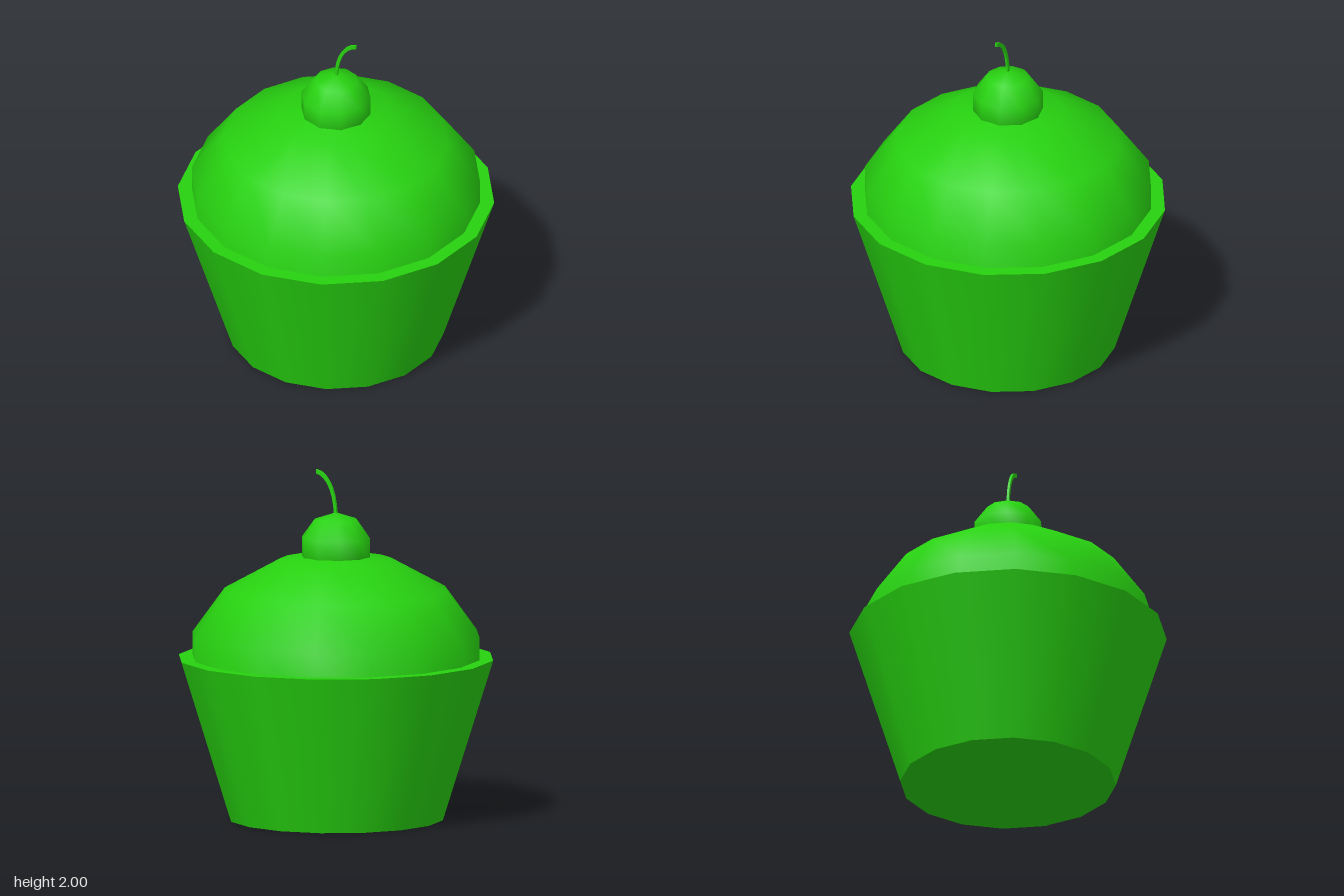
import * as THREE from 'three';

export function createModel() {
  const group = new THREE.Group();
  group.name = 'cupcake';
  const green = new THREE.MeshStandardMaterial({ color: 0x27d110 });
  green.name = 'green';

  const add = (name, geometry, y = 0) => {
    const mesh = new THREE.Mesh(geometry, green);
    mesh.name = name;
    mesh.position.y = y;
    group.add(mesh);
    return mesh;
  };

  // Flared paper cup, closed by a flat rim and base
  add('cup', new THREE.CylinderGeometry(0.905, 0.615, 0.925, 16), 0.4625);

  // Squashed dome of cake, rising out of the cup
  const profile = [[0.825, 0.69], [0.825, 1.06], [0.64, 1.315], [0.32, 1.49], [0, 1.535]];
  add('cakeTop', new THREE.LatheGeometry(profile.map(([r, y]) => new THREE.Vector2(r, y)), 16));

  // Low-poly round cherry with a vertex toward the front
  add('cherry', new THREE.SphereGeometry(0.21, 10, 5).rotateY(Math.PI / 2), 1.55);

  // Thin curved stalk, square in section
  const stalk = new THREE.Shape();
  stalk.moveTo(-0.008, 1.74);
  stalk.bezierCurveTo(-0.004, 1.88, 0.045, 1.985, 0.13, 2);
  stalk.lineTo(0.13, 1.975);
  stalk.bezierCurveTo(0.07, 1.965, 0.015, 1.89, 0.01, 1.74);
  add('stalk', new THREE.ExtrudeGeometry(stalk, { depth: 0.014, bevelEnabled: false, curveSegments: 7 })
    .translate(0, 0, -0.007));

  return group;
}
